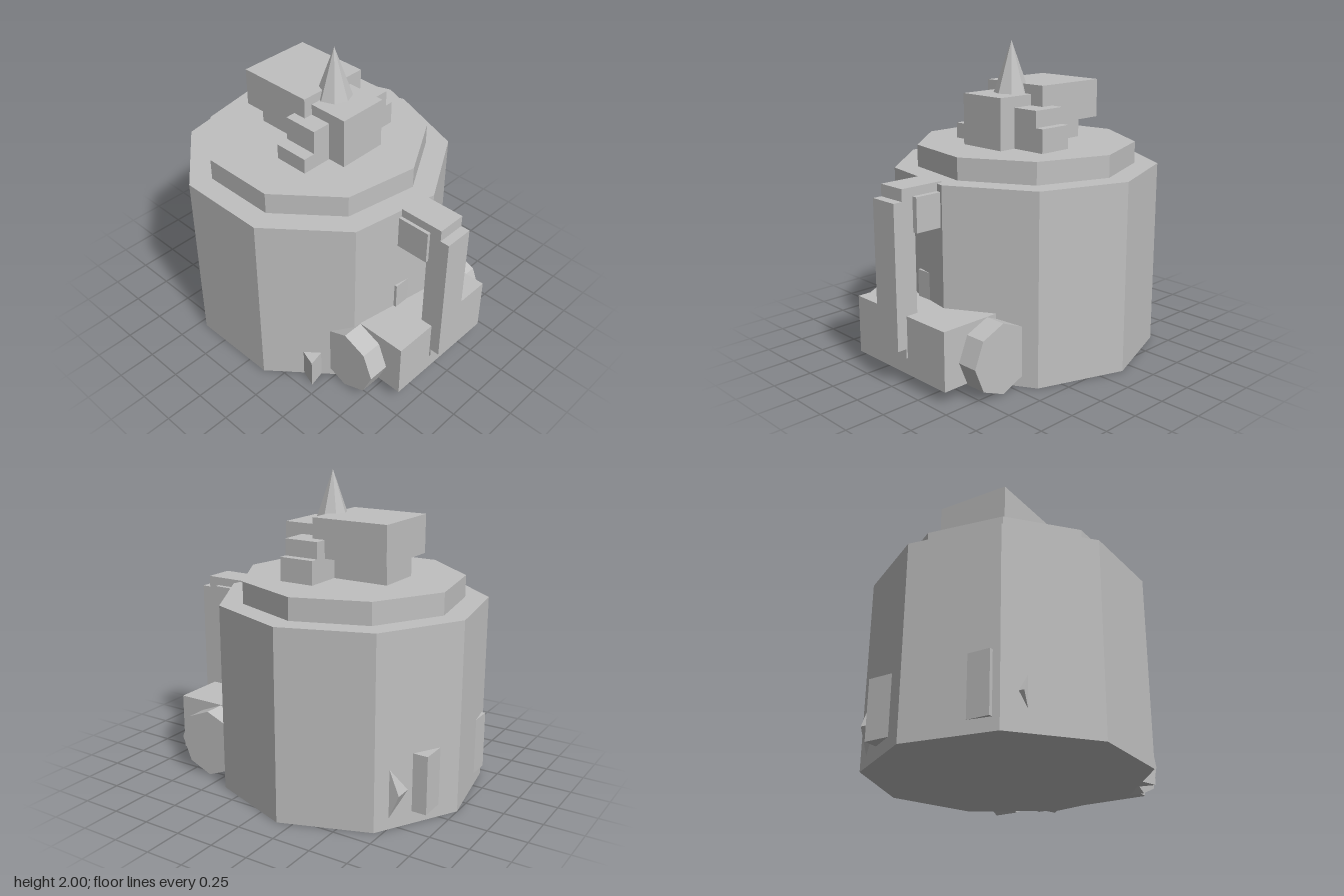
import * as THREE from 'three';

export function createModel() {
  const model = new THREE.Group();
  model.name = 'pot';
  const grey = new THREE.MeshStandardMaterial({ color: 0xc0c0c0, flatShading: true });
  grey.name = 'plain grey';

  const add = (name, geometry, parent = model) => {
    const mesh = new THREE.Mesh(geometry, grey);
    mesh.name = name;
    parent.add(mesh);
    return mesh;
  };
  // box given by its limits on each axis
  const box = (name, [x0, x1], [y0, y1], [z0, z1], parent) =>
    add(name, new THREE.BoxGeometry(x1 - x0, y1 - y0, z1 - z0), parent)
      .position.set((x0 + x1) / 2, (y0 + y1) / 2, (z0 + z1) / 2);
  // upright faceted prism or cone between two heights
  const prism = (name, sides, rTop, rBottom, y0, y1, x, z, turn = 0, parent) =>
    add(name, new THREE.CylinderGeometry(rTop, rBottom, y1 - y0, sides, 1, false, turn), parent)
      .position.set(x, (y0 + y1) / 2, z);
  const group = (name) => {
    const g = new THREE.Group();
    g.name = name;
    model.add(g);
    return g;
  };

  // nine-sided body and lid
  const cx = -0.155, cz = 0.022;
  prism('body', 9, 0.857, 0.857, 0, 1.21, cx, cz, Math.PI);
  prism('lid', 9, 0.709, 0.709, 1.21, 1.35, cx, cz, Math.PI);

  // stacked blocks on the lid, with the spike
  const top = group('topBlocks');
  box('lowerBlock', [-0.49, 0], [1.35, 1.49], [-0.14, 0.17], top);
  box('upperBlock', [-0.545, -0.03], [1.49, 1.735], [-0.247, 0.242], top);
  box('sideBlock', [-0.03, 0.235], [1.35, 1.675], [-0.15, 0.182], top);
  box('crossBlock', [-0.118, 0.113], [1.35, 1.605], [-0.33, 0.308], top);
  box('frontStep', [-0.118, 0.113], [1.35, 1.45], [0.2, 0.39], top);
  box('backStep', [-0.118, 0.113], [1.35, 1.5], [-0.385, -0.2], top);
  prism('spike', 8, 0, 0.115, 1.67, 2, -0.013, 0.007, 0, top);

  // bar crossing the lower body, with a wheel at each corner
  box('axleBlock', [-0.93, 0.93], [0.08, 0.45], [-0.411, 0.408]);
  for (const x of [-0.598, 0.598]) for (const z of [-0.468, 0.468]) {
    const wheel = add('wheel', new THREE.CylinderGeometry(0.222, 0.222, 0.16, 8).rotateX(Math.PI / 2));
    wheel.position.set(x, 0.226, z);
  }

  // handle on one side
  const handle = group('handle');
  box('gripTop', [0.645, 0.94], [0.955, 1.22], [-0.075, 0.118], handle);
  box('grip', [0.85, 1], [0.245, 1.145], [-0.075, 0.118], handle);
  box('gripBottom', [0.645, 0.94], [0.185, 0.43], [-0.075, 0.118], handle);
  box('upperMount', [0.645, 0.863], [0.95, 1.165], [-0.11, 0.14], handle);
  box('lowerMount', [0.44, 0.66], [0.41, 0.625], [-0.11, 0.145], handle);

  // three-sided feet peeking out under the body
  for (const angle of [48, -12]) {
    const a = THREE.MathUtils.degToRad(angle);
    prism('foot', 3, 0.1, 0.1, 0, 0.195,
      cx + 0.803 * Math.cos(a), cz + 0.803 * Math.sin(a), Math.PI / 2 - a);
  }
  return model;
}
